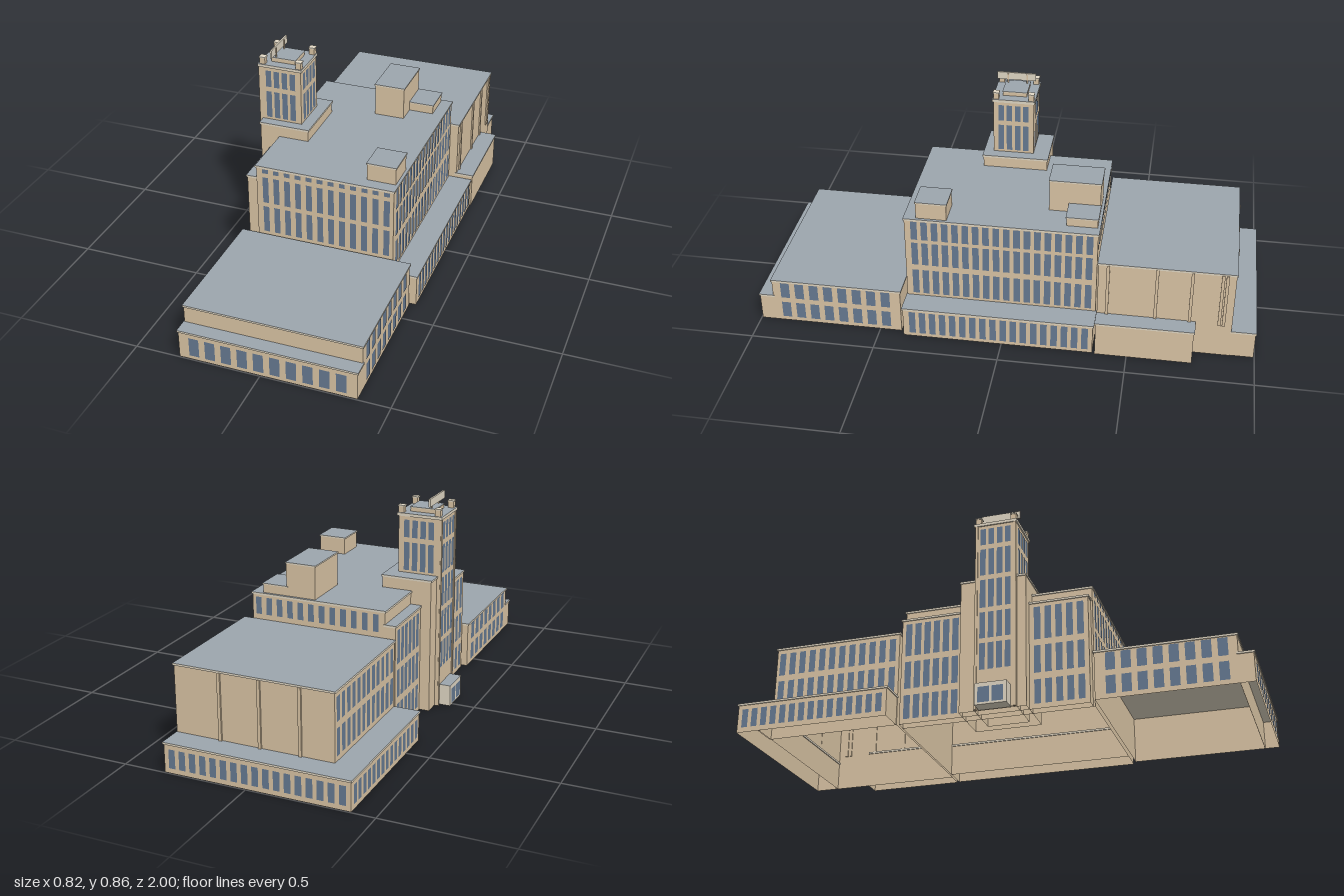
import * as THREE from 'three';
import { mergeGeometries } from 'three/addons/utils/BufferGeometryUtils.js';

const mat = (name, color, side = THREE.FrontSide) => {
  const m = new THREE.MeshStandardMaterial({ color, side });
  m.name = name;
  return m;
};

export function createModel() {
  const root = new THREE.Group();
  root.name = 'industrialBuilding';
  const stone = mat('tan stone', 0xdcc6a6, THREE.DoubleSide);
  const roof = mat('grey roof', 0x9da6ae, THREE.DoubleSide);
  const trim = mat('pale trim', 0xe2d9c6);
  const glass = mat('blue glass', 0x677b93);

  const add = (name, geometry, material) => {
    const mesh = new THREE.Mesh(geometry, material);
    mesh.name = name;
    root.add(mesh);
  };
  const boxGeo = (x0, x1, y0, y1, z0, z1) =>
    new THREE.BoxGeometry(x1 - x0, y1 - y0, z1 - z0)
      .translate((x0 + x1) / 2, (y0 + y1) / 2, (z0 + z1) / 2);

  // Walls open underneath, with a grey roof
  function shell(name, x0, x1, y0, y1, z0, z1) {
    const g = boxGeo(x0, x1, y0, y1, z0, z1);
    const index = Array.from(g.index.array);
    index.splice(18, 6); // drop the floor
    g.setIndex(index);
    g.clearGroups();
    g.addGroup(0, 12, 0);
    g.addGroup(12, 6, 1);
    g.addGroup(18, 12, 0);
    add(name, g, [stone, roof]);
  }

  // A block whose given size includes the projecting cornice
  function block(name, x0, x1, y0, y1, z0, z1, band = 0.008, out = 0.004) {
    shell(name, x0 + out, x1 - out, y0, y1 - band / 2, z0 + out, z1 - out);
    add(name + 'Cornice', boxGeo(x0, x1, y1 - band, y1, z0, z1),
      [trim, trim, roof, trim, trim, trim]);
  }

  // Rows of flat panes on a wall facing +x, -x, +z or -z; first and last are centres
  const turns = { '+z': 0, '-z': Math.PI, '+x': Math.PI / 2, '-x': -Math.PI / 2 };
  function panes(name, facing, wall, first, last, count, width, rows) {
    const at = wall + (facing[0] === '+' ? 0.0015 : -0.0015);
    const parts = [];
    for (const [y0, y1] of rows) {
      for (let i = 0; i < count; i++) {
        const c = first + (last - first) * i / (count - 1);
        const onZ = facing[1] === 'z';
        parts.push(new THREE.PlaneGeometry(width, y1 - y0)
          .rotateY(turns[facing])
          .translate(onZ ? c : at, (y0 + y1) / 2, onZ ? at : c));
      }
    }
    add(name, mergeGeometries(parts), glass);
  }

  // Front hall and its lower frontage
  block('frontHall', -0.327, 0.378, 0, 0.195, 0.408, 0.945);
  block('frontage', -0.327, 0.378, 0, 0.12, 0.935, 1.0);
  panes('frontageWindows', '+z', 0.996, -0.262, 0.313, 10, 0.04, [[0.016, 0.095]]);
  for (const [side, facing, x] of [['left', '+x', 0.374], ['right', '-x', -0.323]]) {
    panes(side + 'HallWindows', facing, x, 0.473, 0.888, 8, 0.037,
      [[0.018, 0.09], [0.112, 0.183]]);
  }

  // Main block with side annexes
  block('mainBlock', -0.265, 0.305, 0, 0.498, -0.368, 0.402);
  block('leftAnnex', 0.295, 0.403, 0, 0.133, -0.368, 0.402);
  block('rightAnnex', -0.307, -0.255, 0, 0.443, -0.366, 0.395);
  panes('mainFrontWindows', '+z', 0.398, -0.2235, 0.274, 12, 0.024,
    [[0.203, 0.318], [0.336, 0.45], [0.468, 0.486]]);
  panes('mainBackWindows', '-z', -0.364, -0.2235, 0.274, 12, 0.024, [[0.41, 0.48]]);
  panes('mainSideWindows', '+x', 0.301, -0.333, 0.36, 18, 0.026,
    [[0.145, 0.258], [0.283, 0.387], [0.402, 0.486]]);
  panes('annexWindows', '+x', 0.399, -0.333, 0.36, 18, 0.026, [[0.016, 0.118]]);
  const annexRows = [[0.02, 0.118], [0.145, 0.258], [0.283, 0.42]];
  panes('annexFrontWindows', '-x', -0.303, 0.19, 0.36, 5, 0.026, annexRows);
  panes('annexRearWindows', '-x', -0.303, -0.333, -0.14, 6, 0.026, annexRows);

  // Rear hall with a low wing around two sides, and a side store
  block('rearHall', -0.307, 0.338, 0, 0.39, -0.905, -0.368);
  block('rearWing', -0.411, 0.336, 0, 0.12, -1.0, -0.897);
  block('rearSideWing', -0.411, -0.299, 0, 0.12, -0.91, -0.37);
  block('sideStore', 0.325, 0.408, 0, 0.152, -0.76, -0.37);
  panes('rearWingWindows', '-z', -0.996, -0.375, 0.3, 17, 0.026, [[0.02, 0.095]]);
  panes('rearWingSideWindows', '-x', -0.407, -0.965, -0.405, 15, 0.025, [[0.02, 0.095]]);
  panes('rearHallSideWindows', '-x', -0.303, -0.875, -0.4, 12, 0.026,
    [[0.14, 0.245], [0.27, 0.365]]);
  for (const z of [-0.41, -0.6, -0.735, -0.85, -0.867]) {
    add('sidePilaster', boxGeo(0.33, 0.34, 0.145, 0.383, z - 0.006, z + 0.006), stone);
  }
  for (const x of [0.15, -0.01, -0.17]) {
    add('backPilaster', boxGeo(x - 0.006, x + 0.006, 0.115, 0.383, -0.908, -0.9), stone);
  }

  // Tower
  block('towerBase', -0.349, -0.137, 0, 0.55, -0.11, 0.162);
  block('tower', -0.363, -0.177, 0, 0.792, -0.049, 0.127, 0.012, 0.005);
  const towerRows = [[0.56, 0.675], [0.695, 0.766]];
  panes('towerFrontWindows', '+z', 0.122, -0.319, -0.217, 4, 0.023, towerRows);
  panes('towerBackWindows', '-z', -0.044, -0.319, -0.217, 4, 0.023, towerRows);
  panes('towerInnerWindows', '+x', -0.182, -0.012, 0.09, 4, 0.023, towerRows);
  panes('towerOuterWindows', '-x', -0.358, -0.012, 0.09, 4, 0.023,
    [...towerRows, [0.42, 0.54], [0.29, 0.4], [0.16, 0.27]]);
  for (const z of [-0.038, 0.116]) {
    add('towerFin', boxGeo(-0.362, -0.352, 0, 0.782, z - 0.005, z + 0.005), stone);
  }
  for (const x of [-0.344, -0.192]) {
    for (const z of [-0.033, 0.111]) {
      add('towerPinnacle', boxGeo(x - 0.011, x + 0.011, 0.785, 0.818, z - 0.011, z + 0.011), stone);
      add('pinnacleCap', boxGeo(x - 0.013, x + 0.013, 0.817, 0.822, z - 0.013, z + 0.013), trim);
    }
  }
  block('towerCap', -0.322, -0.216, 0.785, 0.811, -0.012, 0.09, 0.004, 0.002);

  // Roof board on two posts
  add('roofBoard', boxGeo(-0.309, -0.302, 0.823, 0.855, -0.035, 0.125), trim);
  for (const z of [0.0, 0.08]) {
    add('boardPost', boxGeo(-0.303, -0.299, 0.805, 0.85, z - 0.003, z + 0.003), stone);
  }

  // Entrance porch at the foot of the tower
  add('porch', boxGeo(-0.405, -0.35, 0, 0.087, -0.025, 0.1),
    [trim, trim, roof, trim, trim, trim]);
  panes('porchDoors', '-x', -0.405, 0.01, 0.065, 2, 0.045, [[0.008, 0.07]]);

  // Rooftop plant rooms
  block('tallPlantRoom', 0.03, 0.159, 0.49, 0.635, -0.36, -0.152, 0.006, 0.003);
  block('lowPlantRoom', 0.15, 0.26, 0.49, 0.537, -0.36, -0.232, 0.005, 0.003);
  block('frontPlantRoom', 0.175, 0.296, 0.49, 0.571, 0.227, 0.355, 0.006, 0.003);

  return root;
}
